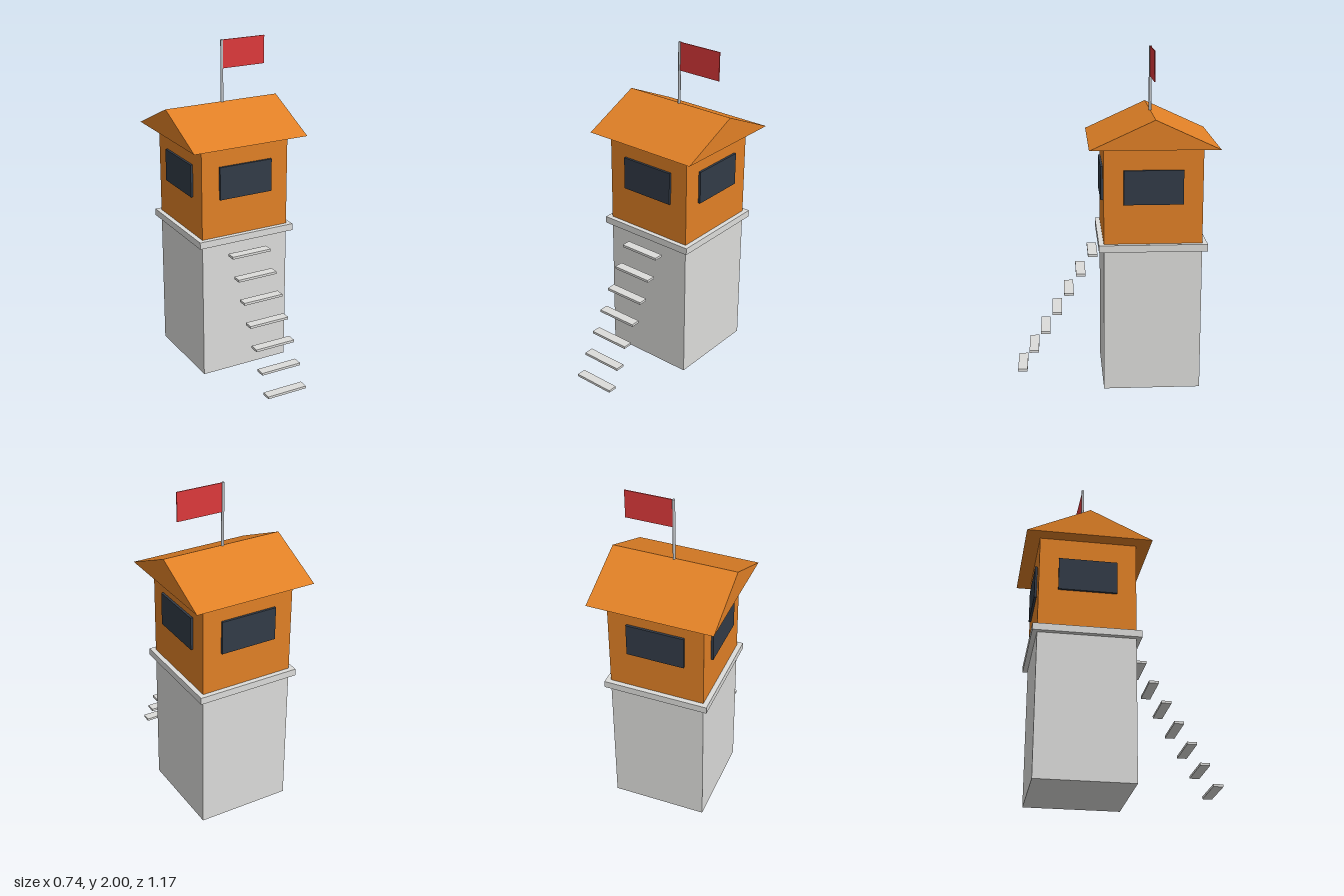
import * as THREE from 'three';

const paint = (name, color) => {
  const m = new THREE.MeshStandardMaterial({ color });
  m.name = name;
  return m;
};

export function createModel() {
  const concrete = paint('concrete', 0xdcdcda);
  const orange = paint('orange', 0xe08026);
  const glass = paint('dark glass', 0x323b47);
  const metal = paint('pole metal', 0xbfc3c7);
  const red = paint('flag red', 0xdd393b);

  const model = new THREE.Group();
  model.name = 'lookoutTower';

  // Tower body, centred on its own axis
  const tower = new THREE.Group();
  tower.name = 'tower';
  tower.position.z = -0.215;
  model.add(tower);

  const add = (parent, name, geometry, material, x, y, z) => {
    const mesh = new THREE.Mesh(geometry, material);
    mesh.name = name;
    mesh.position.set(x, y, z);
    parent.add(mesh);
    return mesh;
  };
  const box = (parent, name, material, [w, h, d], [x, y, z]) =>
    add(parent, name, new THREE.BoxGeometry(w, h, d), material, x, y, z);

  box(tower, 'base', concrete, [0.57, 0.855, 0.57], [0, 0.4275, 0]);
  box(tower, 'deck', concrete, [0.628, 0.042, 0.628], [0, 0.875, 0]);
  box(tower, 'cabin', orange, [0.57, 0.565, 0.57], [0, 1.1785, 0]);

  // One window on each side of the cabin
  for (let i = 0; i < 4; i++) {
    const side = new THREE.Group();
    side.name = 'windowSide';
    side.rotation.y = i * Math.PI / 2;
    box(side, 'window', glass, [0.343, 0.2, 0.028], [0, 1.23, 0.285]);
    tower.add(side);
  }

  // Gable roof, ridge running along x
  const gable = new THREE.Shape([
    new THREE.Vector2(-0.37, 0),
    new THREE.Vector2(0.37, 0),
    new THREE.Vector2(0, 0.17),
  ]);
  const roof = new THREE.ExtrudeGeometry(gable, { depth: 0.74, bevelEnabled: false });
  roof.translate(0, 0, -0.37).rotateY(Math.PI / 2);
  add(tower, 'roof', roof, orange, 0, 1.46, 0);

  // Flagpole and flag
  add(tower, 'flagpole', new THREE.CylinderGeometry(0.0085, 0.0085, 0.4, 8), metal, 0, 1.8, 0);
  box(tower, 'flag', red, [0.283, 0.17, 0.006], [0.143, 1.914, 0]);

  // Floating steps climbing to the deck
  for (let i = 0; i < 7; i++) {
    box(model, 'step', concrete, [0.257, 0.015, 0.057], [0, 0.061 + i * 0.12, 0.557 - i * 0.0714]);
  }

  return model;
}
